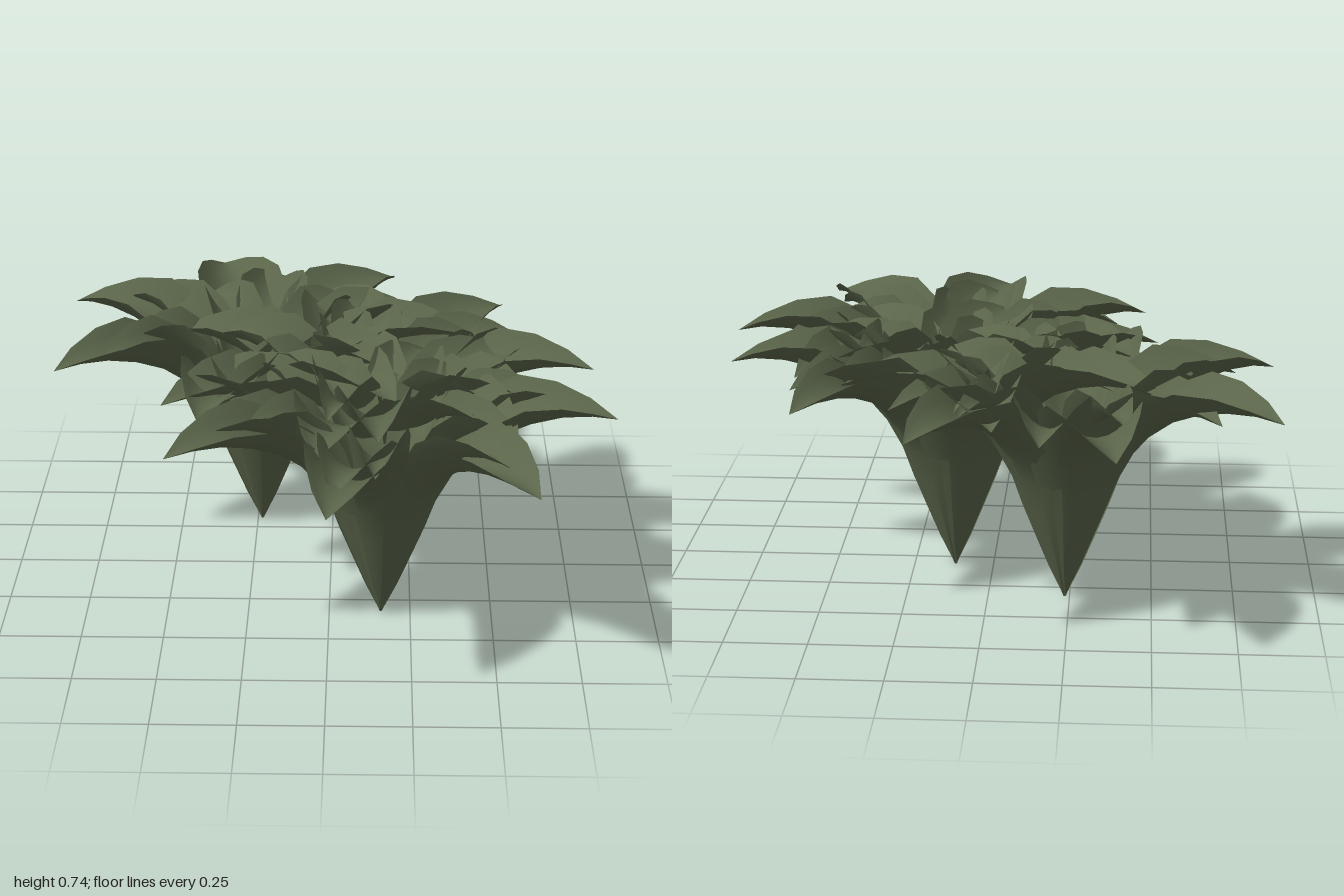
import * as THREE from 'three';

const leafMaterial = new THREE.MeshStandardMaterial({ color: 0x5a654a, side: THREE.DoubleSide });
const waterMaterial = new THREE.MeshStandardMaterial({ color: 0x2f7fa8 });

// Midrib stations: reach, height, half width, rise of the margins above the midrib
const STATIONS = [
  [0, 0, 0.004, 0], [0.045, 0.1, 0.03, 0.005], [0.085, 0.2, 0.055, 0.012],
  [0.125, 0.3, 0.08, 0.02], [0.165, 0.4, 0.1, 0.03], [0.21, 0.48, 0.12, 0.045],
  [0.27, 0.55, 0.137, 0.065], [0.35, 0.61, 0.147, 0.09], [0.44, 0.647, 0.138, 0.097],
  [0.53, 0.667, 0.105, 0.066], [0.62, 0.67, 0.06, 0.028], [0.7, 0.655, 0.001, 0],
];
const ACROSS = 8;

// One arching leaf along +x: trough-shaped cross-sections with raised margins
function leafGeometry(reach) {
  const positions = [], index = [];
  STATIONS.forEach(([r, y, w, rise], i) => {
    const a = STATIONS[Math.max(i - 1, 0)], b = STATIONS[Math.min(i + 1, STATIONS.length - 1)];
    const tangent = new THREE.Vector2(b[0] - a[0], b[1] - a[1]).normalize();
    for (let j = 0; j <= ACROSS; j++) {
      const v = (j / ACROSS) * 2 - 1;
      const lift = rise * v * v;
      positions.push((r - tangent.y * lift) * reach, y + tangent.x * lift, v * w * reach);
    }
  });
  const row = ACROSS + 1;
  for (let i = 0; i < STATIONS.length - 1; i++) {
    for (let j = 0; j < ACROSS; j++) {
      const p = i * row + j;
      index.push(p, p + 1, p + row, p + 1, p + row + 1, p + row);
    }
  }
  const geometry = new THREE.BufferGeometry();
  geometry.setAttribute('position', new THREE.Float32BufferAttribute(positions, 3));
  geometry.setIndex(index);
  geometry.computeVertexNormals();
  return geometry;
}

// Whorls of leaves from the outside in; twist is the turn added per plant
const WHORLS = [
  { name: 'outerLeaf', count: 7, reach: 1, start: 0, twist: 0 },
  { name: 'middleLeaf', count: 6, reach: 0.8, start: 36, twist: 8.6 },
  { name: 'innerLeaf', count: 5, reach: 0.61, start: 28, twist: -7 },
].map((whorl) => ({ ...whorl, geometry: leafGeometry(whorl.reach) }));

const cupGeometry = new THREE.LatheGeometry(
  [[0, 0], [0.08, 0.2], [0.155, 0.38], [0.235, 0.53]].map(([r, y]) => new THREE.Vector2(r, y)), 28);
const poolGeometry = new THREE.CircleGeometry(0.16, 24).rotateX(-Math.PI / 2);

function makePlant(turn) {
  const plant = new THREE.Group();
  for (const { name, count, start, twist, geometry } of WHORLS) {
    for (let k = 0; k < count; k++) {
      const leaf = new THREE.Mesh(geometry, leafMaterial);
      leaf.name = name;
      leaf.rotation.y = -THREE.MathUtils.degToRad(start + twist * turn + (k * 360) / count);
      plant.add(leaf);
    }
  }
  // Sheath that joins the leaf bases into a cup
  const cup = new THREE.Mesh(cupGeometry, leafMaterial);
  cup.name = 'leafCup';
  // Rainwater held in the cup
  const pool = new THREE.Mesh(poolGeometry, waterMaterial);
  pool.name = 'waterPool';
  pool.position.y = 0.43;
  plant.add(cup, pool);
  return plant;
}

export function createModel() {
  const model = new THREE.Group();
  model.name = 'leafyPlants';
  const plants = [
    ['backPlant', -0.235, -0.32, 0],
    ['frontPlant', 0.16, 0.32, 1],
    ['middlePlant', 0.12, -0.06, -1],
  ];
  for (const [name, x, z, turn] of plants) {
    const plant = makePlant(turn);
    plant.name = name;
    plant.position.set(x, 0, z);
    model.add(plant);
  }
  return model;
}
